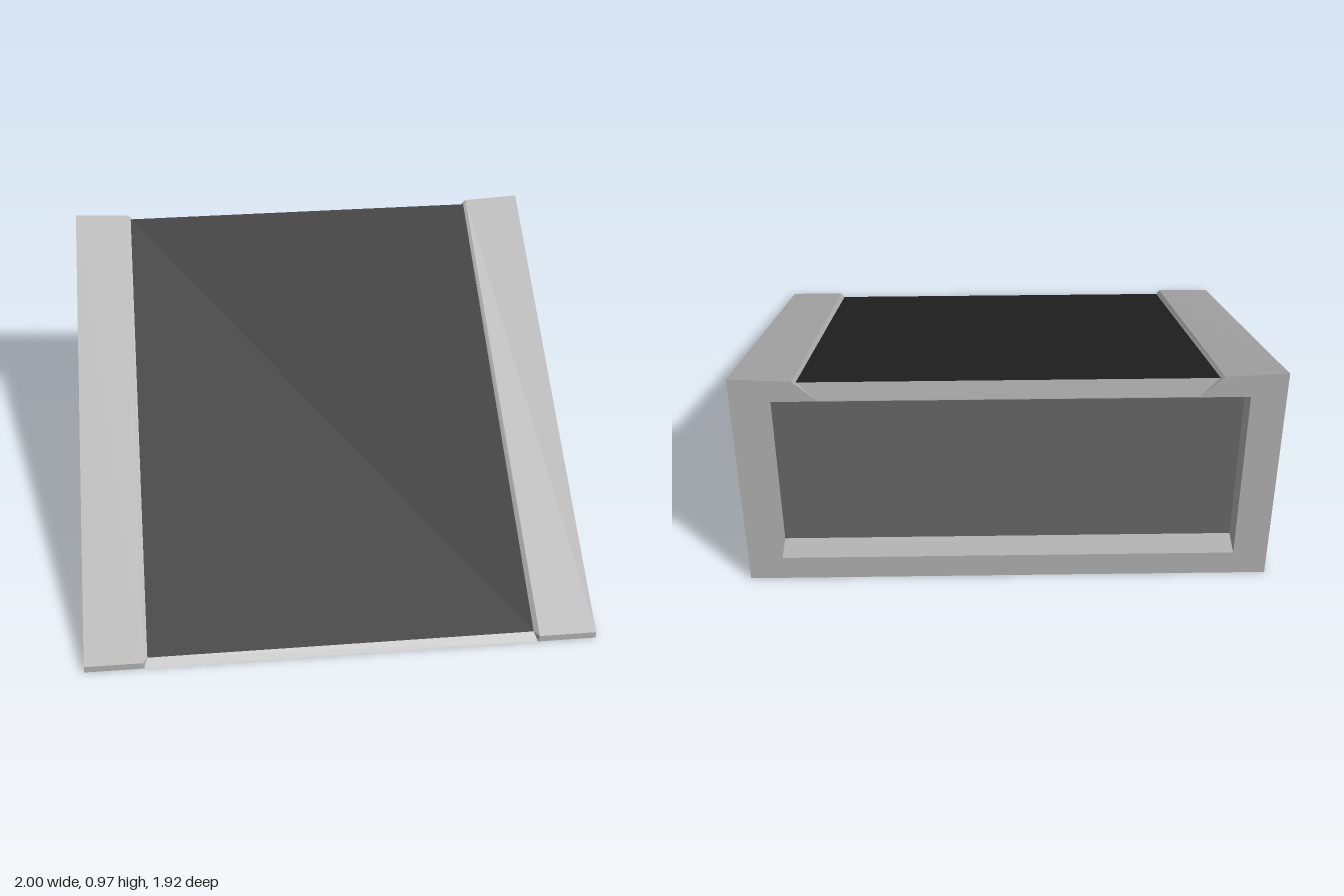
import * as THREE from 'three';

const paint = (color) => new THREE.MeshStandardMaterial({ color, flatShading: true });
const grey = paint(0xb5b5b5);
const panelGrey = paint(0x6a6a6a);
const black = paint(0x232323);

function named(name, geometry, material) {
  const mesh = new THREE.Mesh(geometry, material);
  mesh.name = name;
  return mesh;
}

// Flat faces from corner loops (counter-clockwise seen from outside)
function faces(loops) {
  const pos = [];
  for (const loop of loops)
    for (let i = 1; i < loop.length - 1; i++) pos.push(...loop[0], ...loop[i], ...loop[i + 1]);
  const g = new THREE.BufferGeometry();
  g.setAttribute('position', new THREE.Float32BufferAttribute(pos, 3));
  g.computeVertexNormals();
  return g;
}

// Mirrors loops across x = 0, keeping them facing outwards
const mirror = (loops) => loops.map((l) => l.map(([x, y, z]) => [-x, y, z]).reverse());

// A wall facing local +z: outer frame, recess sides and sunken panel
function recessedWall(name, outer, hole, depth) {
  const group = new THREE.Group();
  group.name = name;
  const toPoints = (list) => list.map(([x, y]) => new THREE.Vector2(x, y));
  const shape = new THREE.Shape(toPoints(outer));
  shape.holes.push(new THREE.Path(toPoints(hole)));
  group.add(named(name + 'Frame', new THREE.ShapeGeometry(shape), grey));

  const sides = hole.map((p, i) => {
    const q = hole[(i + 1) % hole.length];
    return [[...p, 0], [...q, 0], [...q, -depth], [...p, -depth]];
  });
  group.add(named(name + 'RecessSides', faces(sides), grey));

  const panel = named(name + 'Panel', new THREE.ShapeGeometry(new THREE.Shape(toPoints(hole))), panelGrey);
  panel.position.z = -depth;
  group.add(panel);
  return group;
}

export function createModel() {
  const model = new THREE.Group();
  model.name = 'ramp';
  const Z = 0.96;

  // Triangular side walls
  const sideOuter = [[-Z, 0], [Z, 0], [Z, 0.973], [-Z, 0.028]];
  const sideHole = [[-0.63, 0.087], [0.867, 0.087], [0.867, 0.812], [-0.63, 0.109]];
  for (const s of [1, -1]) {
    const flip = (list) => (s > 0 ? list : list.map(([u, v]) => [-u, v]).reverse());
    const wall = recessedWall(s > 0 ? 'leftWall' : 'rightWall', flip(sideOuter), flip(sideHole), 0.13);
    wall.rotation.y = s * Math.PI / 2;
    wall.position.x = s;
    model.add(wall);
  }

  // Back wall, notched between the rails
  const back = recessedWall('backWall',
    [[-1, 0], [1, 0], [1, 0.973], [0.77, 0.961], [0.685, 0.873], [-0.685, 0.873], [-0.77, 0.961], [-1, 0.973]],
    [[-0.87, 0.106], [0.87, 0.106], [0.87, 0.87], [-0.87, 0.87]], 0.11);
  back.rotation.y = Math.PI;
  back.position.z = -Z;
  model.add(back);

  // Raised rails: top, inner bevel with its end corners, and front edge
  const railTopIn = [0.77, 0.961, -Z], railLowIn = [0.775, 0.028, Z];
  const deckTop = [0.757, 0.947, -0.947], deckLow = [0.757, 0.027, 0.93];
  const notch = [0.685, 0.873, -Z], toe = [0.77, 0, Z];
  const rail = [
    [[1, 0.028, Z], [1, 0.973, -Z], railTopIn, railLowIn],
    [railLowIn, railTopIn, deckTop, deckLow],
    [railTopIn, notch, deckTop],
    [railLowIn, deckLow, toe],
    [[1, 0, Z], [1, 0.028, Z], railLowIn, toe],
  ];
  model.add(named('leftRail', faces(rail), grey), named('rightRail', faces(mirror(rail)), grey));

  // Sunken deck and the sloped lips at its ends
  const opp = ([x, y, z]) => [-x, y, z];
  model.add(named('deck', faces([[deckLow, deckTop, opp(deckTop), opp(deckLow)]]), black));
  model.add(named('frontLip', faces([[toe, deckLow, opp(deckLow), opp(toe)]]), grey));
  model.add(named('backLip', faces([[deckTop, notch, opp(notch), opp(deckTop)]]), grey));

  // Underside
  model.add(named('base', faces([[[-1, 0, -Z], [1, 0, -Z], [1, 0, Z], [-1, 0, Z]]]), grey));
  return model;
}
